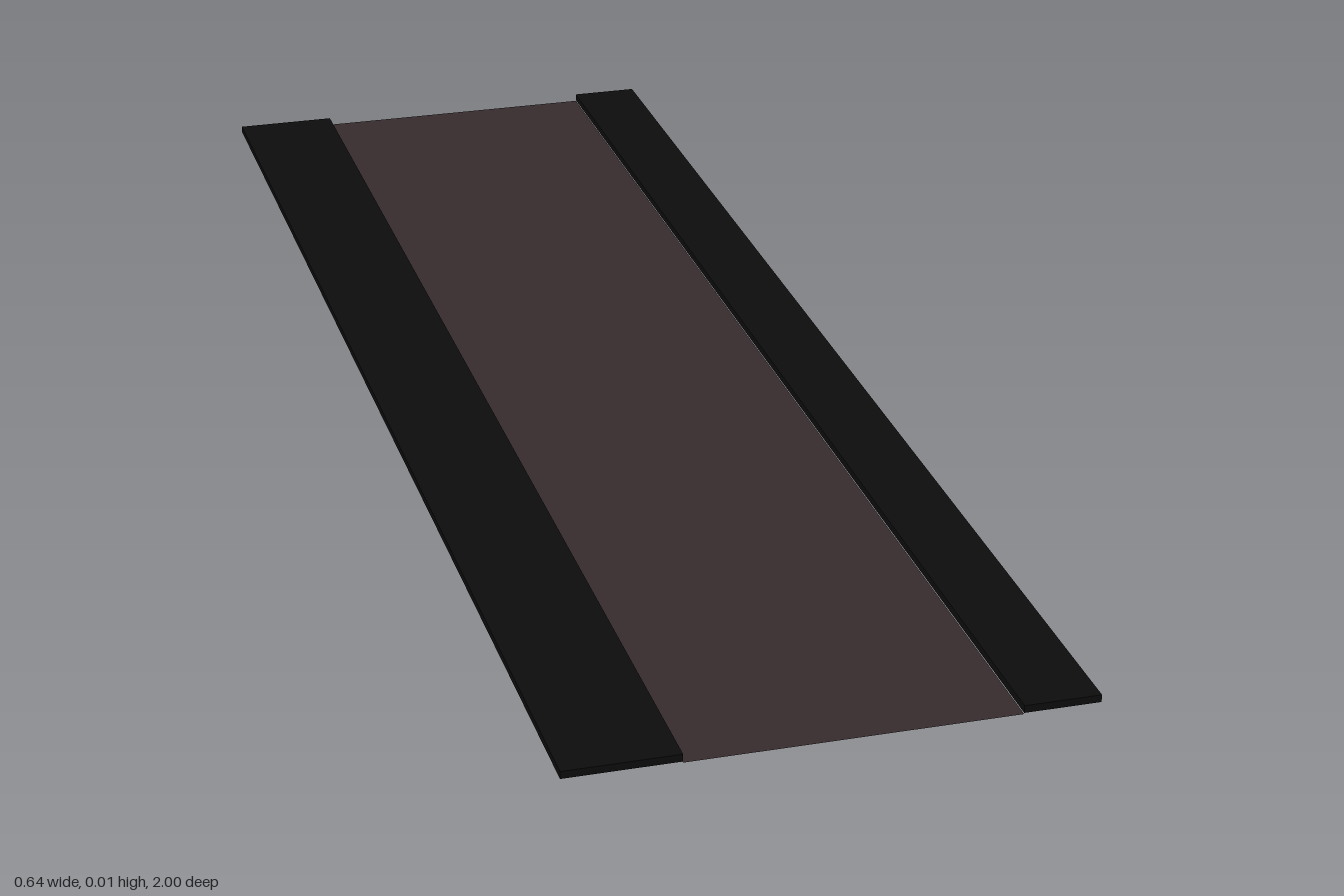
import * as THREE from 'three';

const LENGTH = 2;
const RAIL_BOTTOM = 0.0015;
const RAIL_TOP = 0.011;
const INNER_RIGHT = -0.178;
const INNER_LEFT = 0.225;
const OUTER = 0.319;

export function createModel() {
  const group = new THREE.Group();
  const black = new THREE.MeshStandardMaterial({ color: 0x0d0d0d });
  black.name = 'black';
  const brown = new THREE.MeshStandardMaterial({ color: 0x372d2e, side: THREE.DoubleSide });
  brown.name = 'dark brown';

  // Flat side strips, the right one wider than the left
  const addRail = (name, x0, x1) => {
    const geometry = new THREE.BoxGeometry(x1 - x0, RAIL_TOP - RAIL_BOTTOM, LENGTH);
    const rail = new THREE.Mesh(geometry, black);
    rail.position.set((x0 + x1) / 2, (RAIL_BOTTOM + RAIL_TOP) / 2, 0);
    rail.name = name;
    group.add(rail);
  };
  addRail('rightRail', -OUTER, INNER_RIGHT);
  addRail('leftRail', INNER_LEFT, OUTER);

  // Thin sheet between the strips, lying just below them
  const sheet = new THREE.Mesh(
    new THREE.PlaneGeometry(INNER_LEFT - INNER_RIGHT, LENGTH).rotateX(-Math.PI / 2),
    brown
  );
  sheet.position.x = (INNER_LEFT + INNER_RIGHT) / 2;
  sheet.name = 'centreSheet';
  group.add(sheet);

  return group;
}
